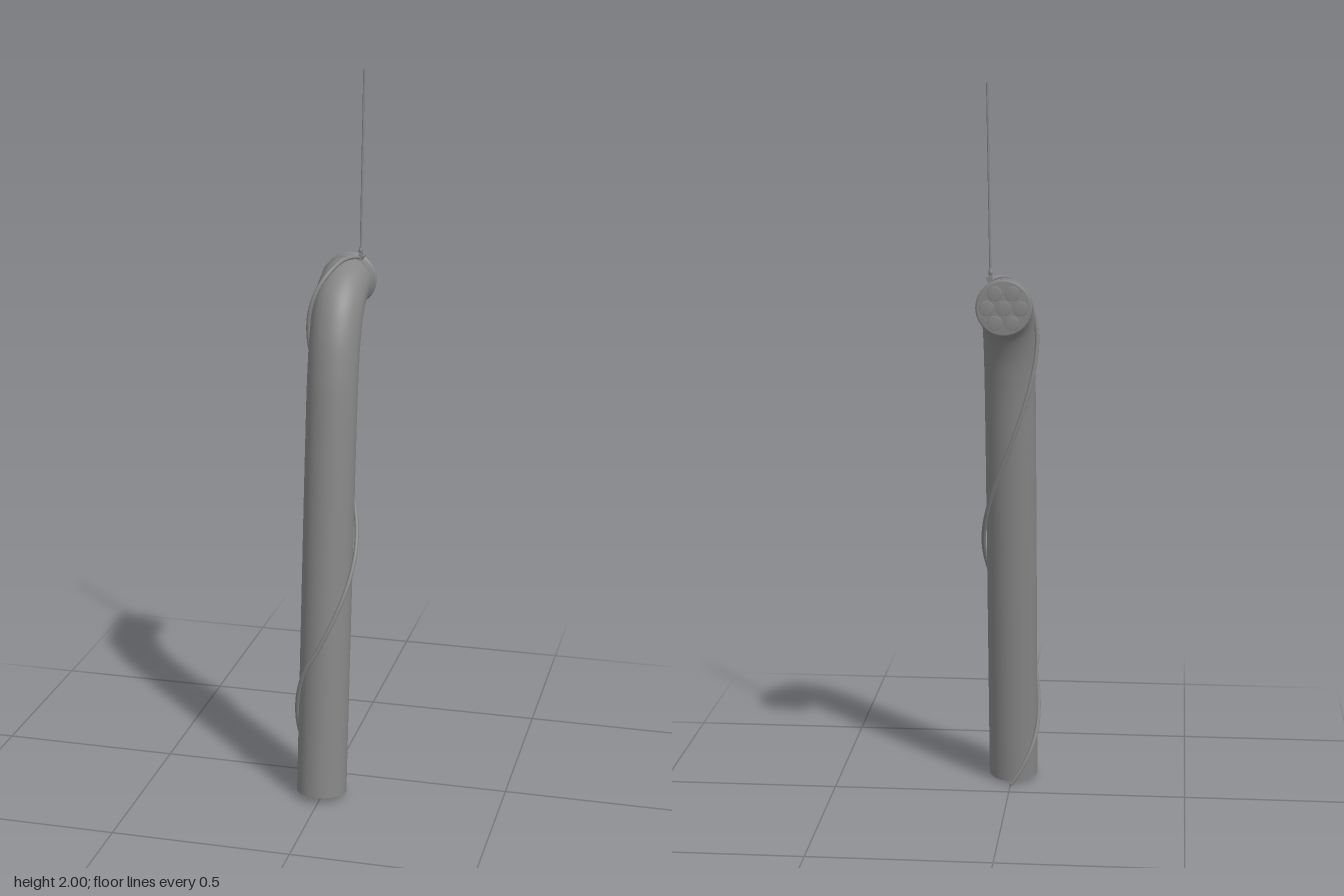
import * as THREE from 'three';

const material = new THREE.MeshStandardMaterial({ color: 0x868686 });
const openMaterial = new THREE.MeshStandardMaterial({ color: 0x868686, side: THREE.DoubleSide });
const V = (x, y, z) => new THREE.Vector3(x, y, z);
const R = 0.07, X = -0.003;

function add(parent, name, geometry, x = 0, y = 0, z = 0) {
  const mesh = new THREE.Mesh(geometry, material);
  mesh.name = name;
  mesh.position.set(x, y, z);
  parent.add(mesh);
  return mesh;
}

// Ring or disc turned from [radius, height] pairs
function lathe(profile, sides) {
  return new THREE.LatheGeometry(profile.map(([x, y]) => new THREE.Vector2(x, y)), sides);
}

// Centre line of the body, bottom to bent head
const spine = new THREE.CatmullRomCurve3([
  [0.013, 0.138], [0.35, 0.103], [0.7, 0.066], [1.0, 0.033], [1.2, 0.006], [1.3, -0.02],
  [1.37, -0.058], [1.41, -0.11], [1.42, -0.16], [1.42, -0.2],
].map(([y, z]) => V(X, y, z)));

// Point on the body's skin: u along the spine, angle from the front (top at the head)
function skin(u, angle, r) {
  const t = spine.getTangentAt(u);
  const out = V(0, -t.z, t.y);
  return spine.getPointAt(u).addScaledVector(out, r * Math.cos(angle))
    .add(V(r * Math.sin(angle), 0, 0));
}

export function createModel() {
  const model = new THREE.Group();
  model.name = 'bentTubeWithCord';

  // Body tube, open at the bottom
  add(model, 'body', new THREE.TubeGeometry(spine, 90, R, 40)).material = openMaterial;

  // Head: flared lip with end face and raised studs, built facing +z and turned to the back
  const head = new THREE.Group();
  head.name = 'head';
  head.position.set(X, 1.42, -0.2);
  head.rotation.y = Math.PI;
  model.add(head);
  const lip = lathe([[0.069, -0.012], [0.072, -0.008], [0.075, -0.004], [0.074, 0], [0.069, 0.003], [0, 0.003]], 40);
  add(head, 'lip', lip).rotation.x = Math.PI / 2;
  const stud = lathe([[0.019, 0], [0.019, 0.007], [0.0175, 0.009], [0, 0.009]], 20);
  for (let i = 0; i < 6; i++) {
    const a = i * Math.PI / 3;
    add(head, 'outerStud', stud, 0.045 * Math.cos(a), 0.045 * Math.sin(a), 0.001).rotation.x = Math.PI / 2;
  }
  add(head, 'centreStud', stud, 0, 0, -0.003).rotation.x = Math.PI / 2;

  // Strap around the neck
  const strap = lathe([[0.069, -0.006], [0.0735, -0.006], [0.0735, 0.006], [0.069, 0.006]], 40);
  add(model, 'strap', strap, X, 1.42, -0.159).rotation.x = Math.PI / 2;

  // Buckle: small open frame tied to the strap
  const buckle = new THREE.Group();
  buckle.name = 'buckle';
  buckle.position.set(0.036, 1.492, -0.159);
  buckle.rotation.z = -0.5;
  model.add(buckle);
  for (const s of [-1, 1]) {
    add(buckle, 'buckleSide', new THREE.BoxGeometry(0.004, 0.014, 0.026), s * 0.006, 0, 0);
    add(buckle, 'buckleEnd', new THREE.BoxGeometry(0.016, 0.014, 0.004), 0, 0, s * 0.011);
  }
  add(model, 'knot', new THREE.SphereGeometry(0.008, 14, 10), 0.035, 1.509, -0.157).scale.set(0.7, 1.3, 1);

  // Thin upright line: two strands side by side, leaning slightly
  for (const s of [-1, 1]) {
    const path = new THREE.LineCurve3(V(0.035, 1.485, -0.157 + s * 0.004), V(0.043, 2, -0.157 + s * 0.003));
    add(model, 'upperLine', new THREE.TubeGeometry(path, 1, 0.0025, 8));
  }

  // Cord winding down the body: position along spine, turn in degrees, radius
  const winding = new THREE.CatmullRomCurve3([
    [0.974, 28, 0.079], [0.932, -20, 0.075], [0.85, -90, 0.076], [0.655, -180, 0.073],
    [0.46, -270, 0.079], [0.285, -360, 0.075], [0.235, -393, 0.078], [0.13, -450, 0.074],
    [0.05, -505, 0.08], [0, -540, 0.087],
  ].map((p) => V(...p)));
  const cordPoints = winding.getPoints(110).map((p) =>
    skin(THREE.MathUtils.clamp(p.x, 0, 1), THREE.MathUtils.degToRad(p.y), p.z));
  const end = cordPoints[cordPoints.length - 1];
  end.y = 0.003;
  add(model, 'cord', new THREE.TubeGeometry(new THREE.CatmullRomCurve3(cordPoints), 240, 0.006, 10));
  add(model, 'cordTip', new THREE.SphereGeometry(0.006, 12, 8), end.x, 0.006, end.z);

  return model;
}
